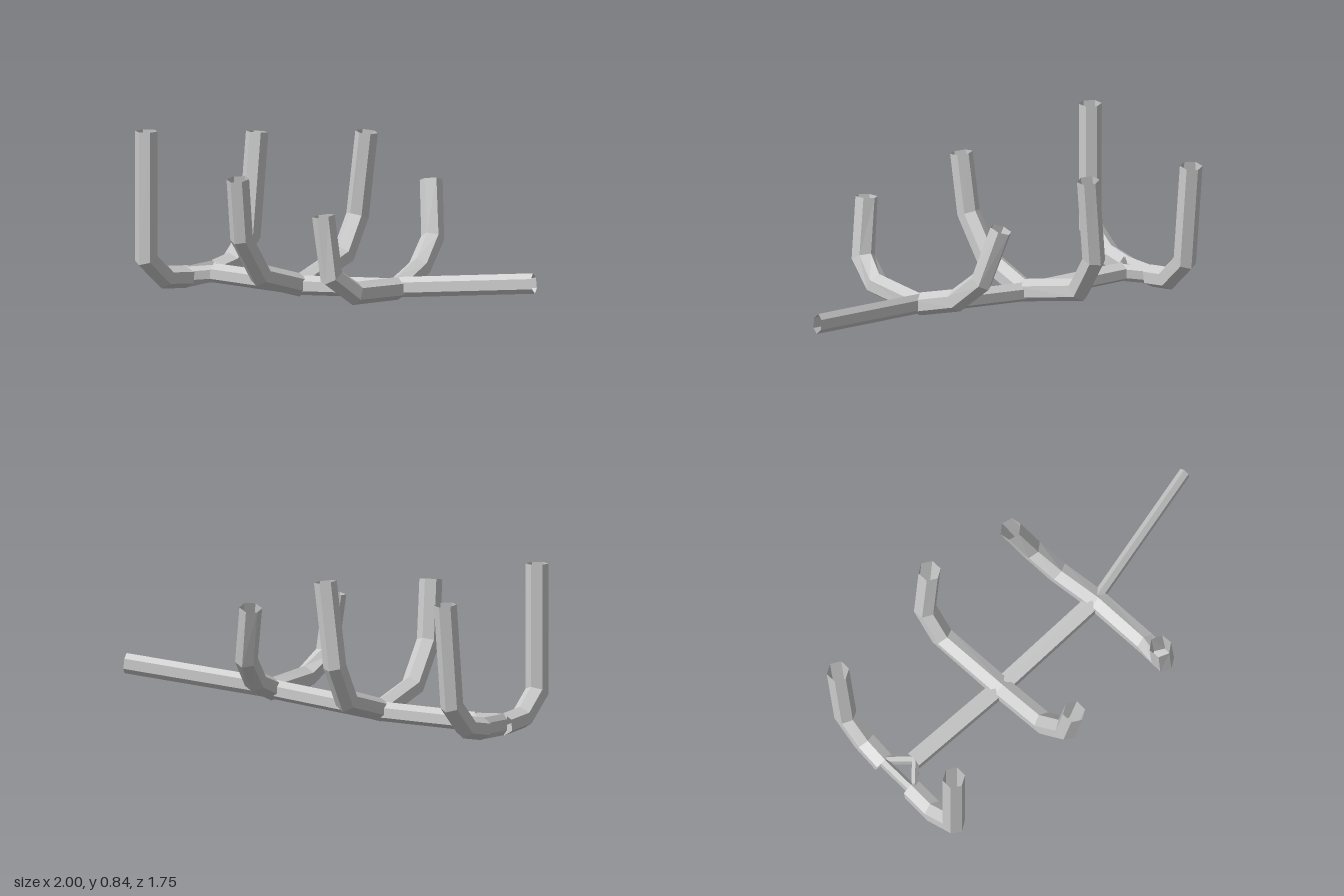
import * as THREE from 'three';

const material = new THREE.MeshStandardMaterial({ color: 0xcccccc, flatShading: true, side: THREE.DoubleSide });
const UP = new THREE.Vector3(0, 1, 0);

// Open six-sided tube along a polyline, mitred at the bends, with a ridge on top.
function hexTube(name, path, halfWidth = 0.05, halfHeight = 0.058) {
  const pts = path.map(p => new THREE.Vector3(...p));
  const last = pts.length - 1;
  const chord = pts[last].clone().sub(pts[0]);
  const across = UP.clone().cross(chord).normalize();
  const dir = i => pts[i + 1].clone().sub(pts[i]).normalize();
  const position = [];
  const index = [];
  pts.forEach((p, j) => {
    const before = dir(Math.max(j - 1, 0));
    const after = dir(Math.min(j, last - 1));
    const t = before.clone().add(after).normalize();
    const side = across.clone().addScaledVector(t, -across.dot(t)).normalize();
    const rise = t.clone().cross(side);
    const miter = 1 / t.dot(after);
    for (let i = 0; i < 6; i++) {
      const a = (i + 0.5) * Math.PI / 3;
      const q = p.clone()
        .addScaledVector(side, halfWidth * Math.cos(a) / Math.cos(Math.PI / 6))
        .addScaledVector(rise, halfHeight * miter * Math.sin(a));
      position.push(q.x, q.y, q.z);
      if (j < last) {
        const n = (i + 1) % 6, k = j * 6;
        index.push(k + i, k + n, k + 6 + n, k + i, k + 6 + n, k + 6 + i);
      }
    }
  });
  const geometry = new THREE.BufferGeometry();
  geometry.setAttribute('position', new THREE.Float32BufferAttribute(position, 3));
  geometry.setIndex(index);
  geometry.computeVertexNormals();
  const mesh = new THREE.Mesh(geometry, material);
  mesh.name = name;
  return mesh;
}

export function createModel() {
  const group = new THREE.Group();
  group.name = 'ribFrame';

  // Rear rib: two bent halves joined by a thin bridge
  const bridgeA = [-0.735, 0.057, -0.425];
  const bridgeB = [-0.6, 0.06, -0.575];
  group.add(
    hexTube('rearRibRight', [[-0.945, 0.84, -0.2], [-0.945, 0.19, -0.2], [-0.85, 0.075, -0.31], bridgeA]),
    hexTube('rearRibLeft', [bridgeB, [-0.5, 0.085, -0.68], [-0.41, 0.21, -0.78], [-0.37, 0.73, -0.82]]),
    hexTube('rearRibBridge', [bridgeA, bridgeB], 0.02, 0.055),
  );

  // Forked joint between the spine and the rear rib
  const fork = [-0.58, 0.075, -0.415];
  group.add(
    hexTube('forkRight', [fork, [-0.75, 0.065, -0.41]], 0.018, 0.045),
    hexTube('forkLeft', [fork, [-0.59, 0.065, -0.585]], 0.018, 0.045),
  );

  // Middle and front ribs
  group.add(
    hexTube('middleRib', [
      [-0.5, 0.69, 0.38], [-0.48, 0.38, 0.34], [-0.38, 0.17, 0.22], [-0.18, 0.085, 0],
      [0.05, 0.18, -0.32], [0.125, 0.37, -0.41], [0.17, 0.8, -0.39],
    ]),
    hexTube('frontRib', [
      [-0.08, 0.57, 0.79], [-0.04, 0.26, 0.8], [0.08, 0.16, 0.71], [0.3, 0.14, 0.45],
      [0.42, 0.21, 0.24], [0.49, 0.34, 0.1], [0.485, 0.62, 0],
    ]),
  );

  // Spine and the narrow bar that carries on past the front rib
  group.add(
    hexTube('spine', [[-0.59, 0.075, -0.425], [-0.18, 0.08, -0.02], [0.3, 0.14, 0.44]], 0.042, 0.05),
    hexTube('frontBar', [[0.3, 0.145, 0.44], [0.98, 0.23, 0.85]], 0.025, 0.052),
  );

  return group;
}
